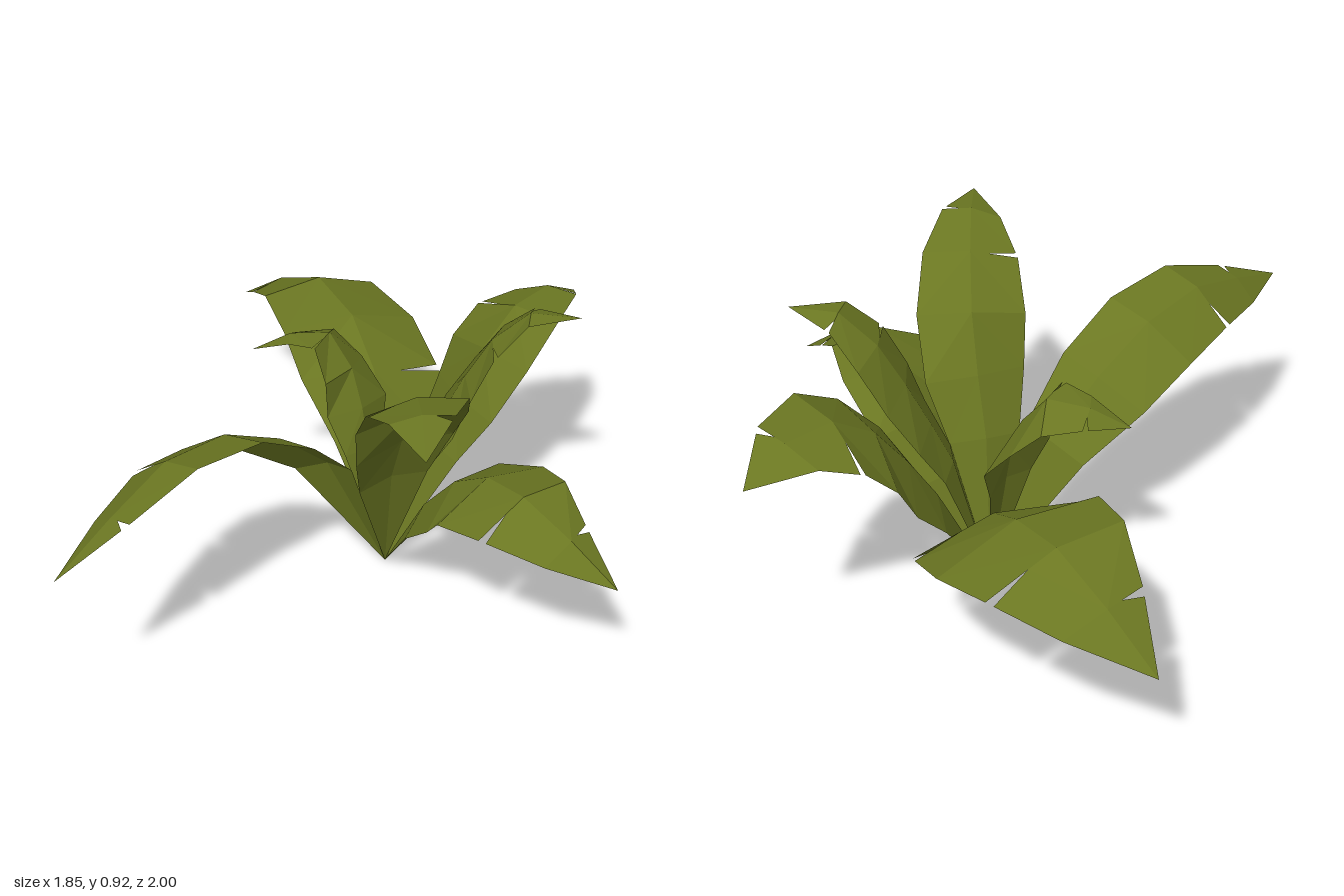
import * as THREE from 'three';

const leafMaterial = new THREE.MeshStandardMaterial({
  color: 0x6b7722, flatShading: true, side: THREE.DoubleSide,
});

const UP = new THREE.Vector3(0, 1, 0);
// All leaves grow from this point
const ROOT = new THREE.Vector3(0.04, 0, -0.2);
// Share of the full half width at each row from root to tip
const PROFILE = [0, 0.68, 0.97, 1, 0.87, 0.54, 0];
const ROWS = PROFILE.length - 1;

// Folded leaf: a straight stem, then a curved midrib through two points to the tip.
// fold: drop of the edges, roll: lean to one side, cutSide: side of the lower slit
function leafGeometry({ path, width, fold, roll, cutSide = -1, extraCut = 0 }) {
  const rib = new THREE.CatmullRomCurve3(path.map((p) => new THREE.Vector3(...p)));
  const mid = [ROOT, ...rib.getSpacedPoints(ROWS - 1)];

  // Edge point beside a rib point
  const edge = (i, side) => {
    const along = rib.getTangentAt(Math.max(i - 1, 0) / (ROWS - 1));
    const across = UP.clone().cross(along).normalize();
    const normal = along.clone().cross(across);
    const w = PROFILE[i] * width;
    return mid[i].clone()
      .addScaledVector(across, side * w)
      .addScaledVector(normal, -w * (fold - side * roll));
  };

  const positions = [];
  const tri = (side, a, b, c) => {
    for (const p of side > 0 ? [a, b, c] : [a, c, b]) positions.push(p.x, p.y, p.z);
  };

  for (const side of [1, -1]) {
    const cutRows = side === cutSide ? [4, extraCut] : [5];
    for (let i = 0; i < ROWS; i++) {
      const m0 = mid[i], m1 = mid[i + 1];
      const e0 = edge(i, side), e1 = edge(i + 1, side);
      let start = e0;
      if (i > 0 && cutRows.includes(i)) {
        // Slit: the edge starts a little further on, its inner end stays put
        const inner = m0.clone().lerp(e0, 0.4);
        start = e0.clone().lerp(e1, 0.11);
        tri(side, m0, m1, inner);
        tri(side, inner, m1, start);
      } else if (i > 0) {
        tri(side, m0, m1, e0);
      }
      if (i < ROWS - 1) tri(side, start, m1, e1);
    }
  }

  const geometry = new THREE.BufferGeometry();
  geometry.setAttribute('position', new THREE.Float32BufferAttribute(positions, 3));
  geometry.computeVertexNormals();
  return geometry;
}

export function createModel() {
  const plant = new THREE.Group();
  plant.name = 'plant';
  const addLeaf = (name, shape) => {
    const mesh = new THREE.Mesh(leafGeometry(shape), leafMaterial);
    mesh.name = name;
    plant.add(mesh);
  };

  // Long arching leaves
  addLeaf('frontLeaf', {
    path: [[-0.05, 0.42, -0.03], [-0.1, 0.62, 0.2], [-0.12, 0.715, 0.5], [-0.1, 0.58, 1]],
    width: 0.14, fold: 0.25, roll: 0.5,
  });
  addLeaf('backRightLeaf', {
    path: [[-0.09, 0.33, -0.36], [-0.3, 0.53, -0.51], [-0.6, 0.6, -0.62], [-0.93, 0.4, -0.65]],
    width: 0.24, fold: 0.2, roll: 0.2, extraCut: 2,
  });
  addLeaf('backLeaf', {
    path: [[0.07, 0.36, -0.38], [0.12, 0.64, -0.57], [0.14, 0.745, -0.78], [0.15, 0.65, -1]],
    width: 0.195, fold: 0.2, roll: -0.28, cutSide: 1,
  });
  addLeaf('sideLeftLeaf', {
    path: [[0.19, 0.29, -0.19], [0.37, 0.49, -0.165], [0.63, 0.575, -0.07], [0.92, 0.4, -0.09]],
    width: 0.18, fold: 0.3, roll: 0.2,
  });

  // Upright inner leaves
  addLeaf('frontLeftLeaf', {
    path: [[0.12, 0.4, -0.12], [0.24, 0.7, -0.04], [0.4, 0.91, 0.13], [0.58, 0.9, 0.34]],
    width: 0.16, fold: 0.2, roll: 0.15,
  });
  addLeaf('backLeftLeaf', {
    path: [[0.11, 0.4, -0.27], [0.2, 0.67, -0.365], [0.32, 0.87, -0.45], [0.47, 0.88, -0.53]],
    width: 0.135, fold: 0.2, roll: -0.15,
  });
  addLeaf('smallRightLeaf', {
    path: [[-0.04, 0.38, -0.21], [-0.12, 0.61, -0.235], [-0.23, 0.725, -0.22], [-0.4, 0.64, -0.1]],
    width: 0.12, fold: 0.3, roll: 0.3, cutSide: 1,
  });
  return plant;
}
